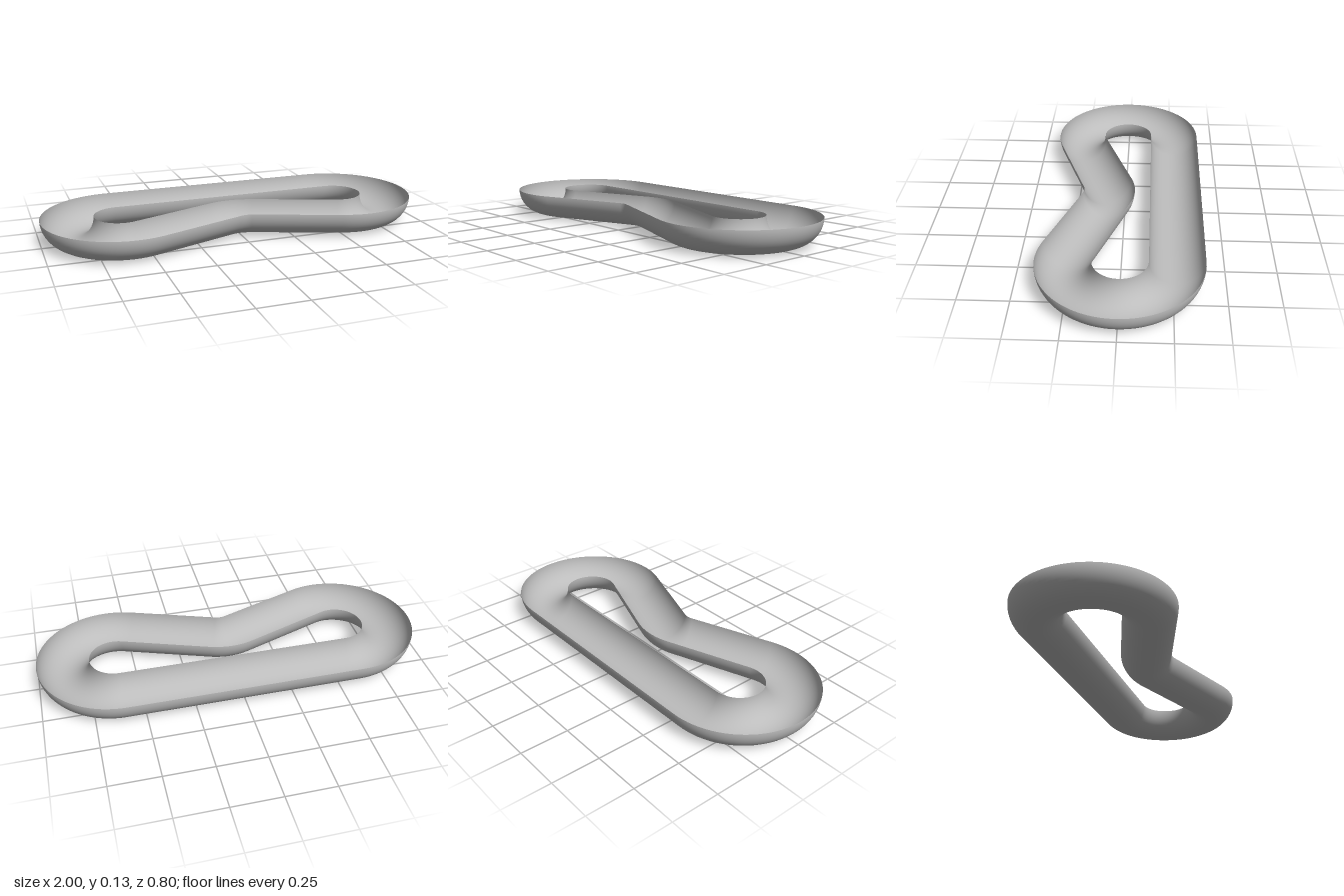
import * as THREE from 'three';

const TUBE = 0.133;          // radius of the half-round section
const BEND = 0.267;          // centreline radius of the end loops
const DIP = 0.21;            // centreline radius of the middle bend
const TILT = THREE.MathUtils.degToRad(20);

// Centreline samples { x, z, nx, nz }; n points away from the hole.
function ringPath() {
  const path = [];
  const arc = (cx, cz, r, from, to, steps) => {
    for (let i = 0; i <= steps; i++) {
      const a = from + (to - from) * i / steps;
      const nx = Math.sin(a), nz = Math.cos(a);
      path.push({ x: cx + r * nx, z: cz + r * nz, nx, nz });
    }
  };
  const dipZ = (DIP + BEND - 0.6 * Math.sin(TILT)) / Math.cos(TILT);
  arc(0.6, 0, BEND, -TILT, Math.PI, 48);
  arc(-0.6, 0, BEND, Math.PI, 2 * Math.PI + TILT, 48);
  arc(0, dipZ, -DIP, TILT, -TILT, 14);
  return path;
}

// Sweep an open lower half circle around the closed path.
function troughGeometry(path, sides = 32) {
  const pos = [], nor = [], idx = [];
  const row = sides + 1;
  path.forEach((p, i) => {
    const next = (i + 1) % path.length;
    for (let j = 0; j <= sides; j++) {
      const s = Math.PI * j / sides;
      const c = Math.cos(s), d = Math.sin(s);
      pos.push(p.x + p.nx * TUBE * c, TUBE * (1 - d), p.z + p.nz * TUBE * c);
      nor.push(p.nx * c, -d, p.nz * c);
      if (j < sides) {
        const a = i * row + j, b = next * row + j;
        idx.push(a, a + 1, b, b, a + 1, b + 1);
      }
    }
  });
  const g = new THREE.BufferGeometry();
  g.setAttribute('position', new THREE.Float32BufferAttribute(pos, 3));
  g.setAttribute('normal', new THREE.Float32BufferAttribute(nor, 3));
  g.setIndex(idx);
  return g;
}

export function createModel() {
  const grey = new THREE.MeshStandardMaterial({ color: 0xbcbcbc, side: THREE.DoubleSide });
  grey.name = 'grey';
  const group = new THREE.Group();
  group.name = 'loopTrough';
  const trough = new THREE.Mesh(troughGeometry(ringPath()), grey);
  trough.name = 'trough';
  group.add(trough);
  return group;
}
